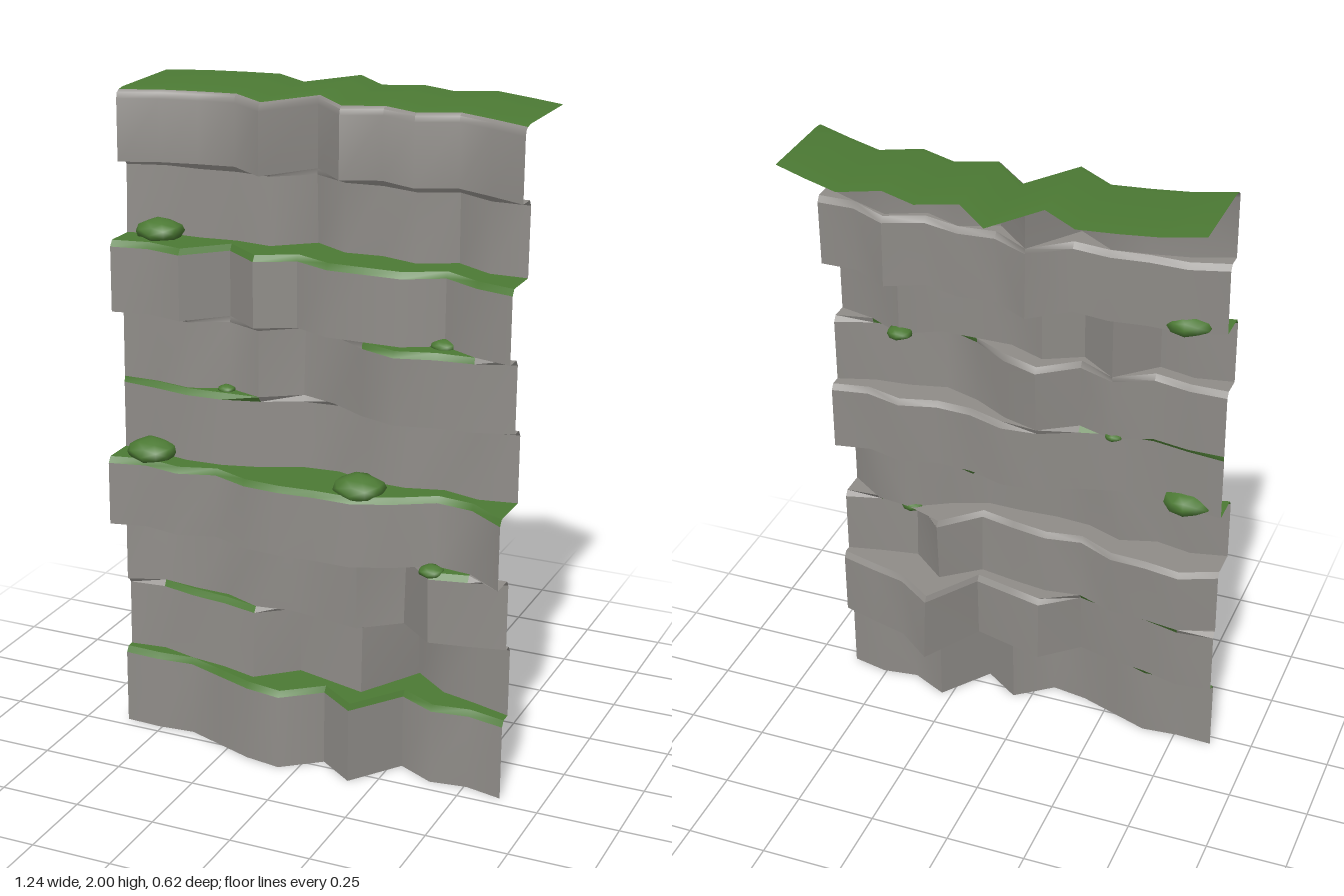
import * as THREE from 'three';
import { toCreasedNormals, mergeVertices } from 'three/addons/utils/BufferGeometryUtils.js';

// Seam heights between the rock strata, bottom to top
const SEAMS = [0, 0.25, 0.475, 0.695, 0.908, 1.13, 1.35, 1.565, 1.787, 2];
// Depth (z) of each stratum's foot at 12 evenly spaced columns, -x to +x
const STRATA = [
  [0.215, 0.22, 0.21, 0.25, 0.29, 0.308, 0.22, 0.3, 0.148, 0.205, 0.19, 0.215],
  [0.178, 0.165, 0.195, 0.21, 0.24, 0.14, 0.17, 0.2, 0.01, 0.1, 0.13, 0.165],
  [0.19, 0.15, 0.165, 0.17, 0.215, 0.2, 0.215, 0.235, 0.145, 0.24, 0.22, 0.195],
  [0.285, 0.26, 0.282, 0.248, 0.292, 0.3, 0.293, 0.295, 0.25, 0.185, 0.2, 0.28],
  [0.172, 0.185, 0.205, 0.2, 0.17, 0.118, 0.108, 0.145, 0.15, 0.12, 0.15, 0.13],
  [0.165, 0.165, 0.185, 0.14, 0.178, 0.105, 0.14, 0.205, 0.242, 0.215, 0.205, 0.17],
  [0.23, 0.21, 0.235, 0.127, 0.21, 0.152, 0.2, 0.2, 0.2, 0.14, 0.2, 0.228],
  [0.122, 0.085, 0.088, 0.075, 0.09, 0.0, 0.065, 0.055, 0.088, 0.035, 0.1, 0.1],
  [0.165, 0.122, 0.1, 0.085, 0.163, 0.004, 0.112, 0.066, 0.112, 0.061, 0.107, 0.158],
];
// How much each stratum's relief grows or fades towards its head
const RELIEF = [1, 0.88, 1.2, 1, 1, 1.15, 1, 0.88, 1];
const COLUMNS = 12, HALF_WIDTH = 0.622, LIP = 0.018, TOP_DEPTH = 0.31;
const columnX = (c) => -HALF_WIDTH + (2 * HALF_WIDTH * c) / (COLUMNS - 1);

const rock = new THREE.MeshStandardMaterial({ color: 0x8f8c88, side: THREE.DoubleSide });
const grass = new THREE.MeshStandardMaterial({ color: 0x4c7a34, side: THREE.DoubleSide });

// Strip through rows of [y, z] per column; keep(c) chooses which segments exist
function strip(rows, keep = () => true) {
  const pos = [], index = [];
  rows.forEach((row) => row.forEach(([y, z], c) => pos.push(columnX(c), y, z)));
  for (let r = 0; r < rows.length - 1; r++) {
    for (let c = 0; c < COLUMNS - 1; c++) {
      if (!keep(c)) continue;
      const a = r * COLUMNS + c, b = a + COLUMNS;
      index.push(a, a + 1, b + 1, a, b + 1, b);
    }
  }
  const geo = new THREE.BufferGeometry();
  geo.setAttribute('position', new THREE.Float32BufferAttribute(pos, 3));
  geo.setIndex(index);
  return toCreasedNormals(geo, 0.85);
}

function add(group, name, geometry, material) {
  const mesh = new THREE.Mesh(geometry, material);
  mesh.name = name;
  group.add(mesh);
  return mesh;
}

// Low rounded tuft with a slightly uneven outline
function bushGeometry() {
  let geo = new THREE.IcosahedronGeometry(1, 1);
  geo.deleteAttribute('normal');
  geo.deleteAttribute('uv');
  geo = mergeVertices(geo);
  const p = geo.attributes.position;
  for (let i = 0; i < p.count; i++) {
    const s = 1 + 0.08 * Math.sin(i * 2.4);
    p.setXYZ(i, p.getX(i) * s, Math.max(p.getY(i), -0.5) * s, p.getZ(i) * s);
  }
  geo.computeVertexNormals();
  return geo;
}

export function createModel() {
  const cliff = new THREE.Group();
  cliff.name = 'cliff';

  STRATA.forEach((foot, i) => {
    const y0 = SEAMS[i], y1 = SEAMS[i + 1];
    const mean = foot.reduce((sum, z) => sum + z, 0) / COLUMNS;
    const head = foot.map((z) => mean + (z - mean) * RELIEF[i] - 0.004);

    // Top of the cliff: rounded rock rim, then a flat grass sheet
    if (i === STRATA.length - 1) {
      const rim = head.map((z) => [y1 - 0.004, z - 0.016]);
      add(cliff, 'rockFace', strip([
        foot.map((z) => [y0, z]),
        head.map((z) => [y1 - 0.028, z]),
        head.map((z) => [y1 - 0.011, z - 0.005]),
        rim,
      ]), rock);
      add(cliff, 'grassTop', strip([
        rim,
        head.map((z) => [y1, z - 0.04]),
        head.map((z) => [y1, z - TOP_DEPTH]),
      ]), grass);
      return;
    }

    // Rock face of the stratum
    const shoulder = head.map((z) => [y1 - LIP, z]);
    add(cliff, 'rockFace', strip([foot.map((z) => [y0, z]), shoulder]), rock);

    // Ledge: grassy where the next stratum steps back, rock where it overhangs
    const above = STRATA[i + 1];
    const rows = [
      shoulder,
      head.map((z, c) => [y1, z + THREE.MathUtils.clamp(above[c] - z, -0.012, 0.012)]),
      above.map((z) => [y1, z]),
    ];
    const stepsBack = (c) => head[c] + head[c + 1] > above[c] + above[c + 1];
    const overhangs = (c) => !stepsBack(c);
    const segments = [...Array(COLUMNS - 1).keys()];
    if (segments.some(stepsBack)) add(cliff, 'grassLedge', strip(rows, stepsBack), grass);
    if (segments.some(overhangs)) add(cliff, 'rockOverhang', strip(rows, overhangs), rock);
  });

  // Bushes on the ledges: x, y, z, half width
  const bush = bushGeometry();
  [
    [-0.51, 1.583, 0.125, 0.075],
    [-0.51, 0.923, 0.21, 0.08],
    [0.17, 0.914, 0.22, 0.082],
    [0.395, 1.352, 0.145, 0.04],
    [0.395, 0.69, 0.215, 0.04],
    [-0.285, 1.132, 0.155, 0.028],
  ].forEach(([x, y, z, r]) => {
    const mesh = add(cliff, 'bush', bush, grass);
    mesh.position.set(x, y, z);
    mesh.scale.set(r, r * 0.5, r * 0.85);
  });

  return cliff;
}
